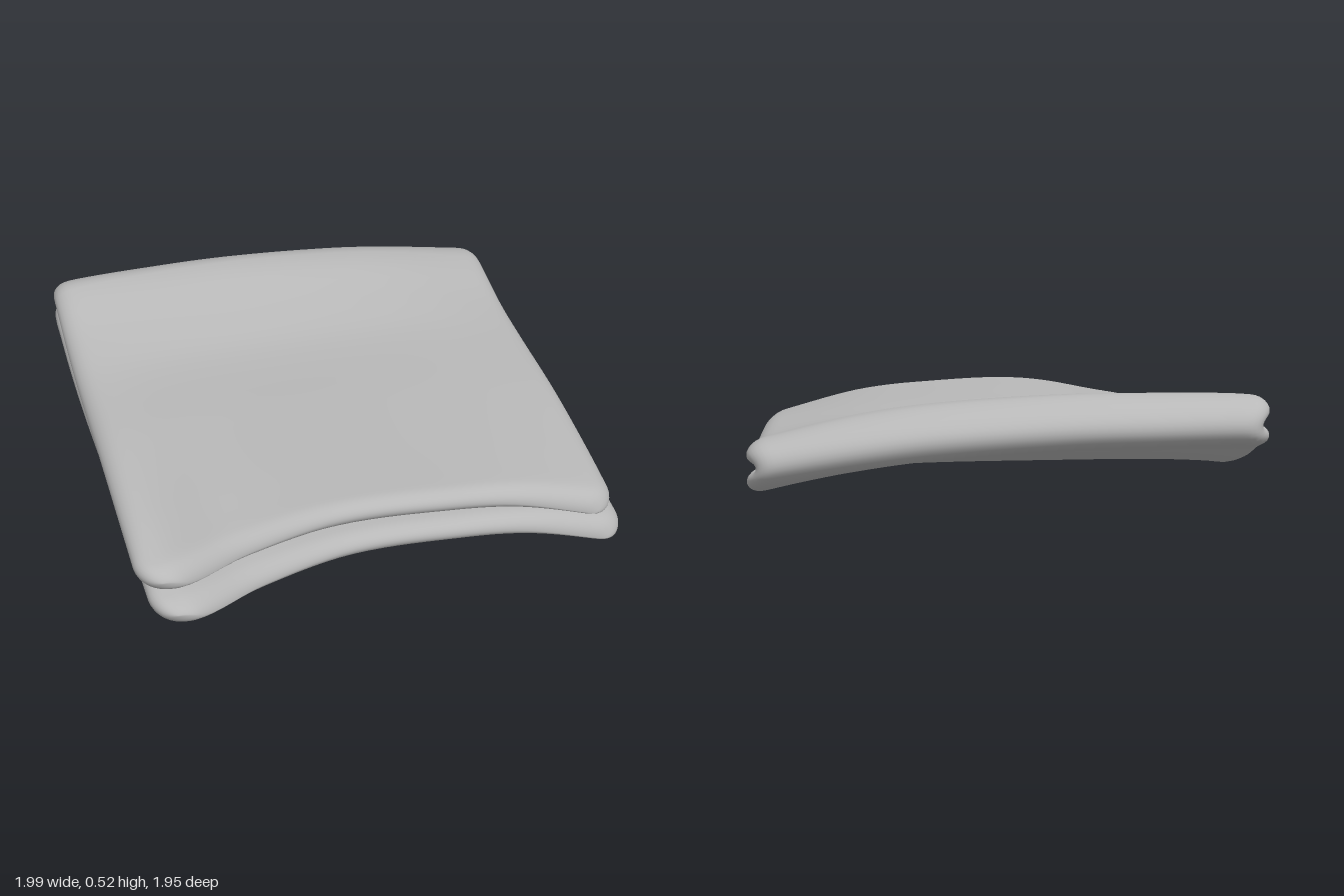
import * as THREE from 'three';

// Height of the gap between the two layers: rows run back to front, columns left to right in x
const KX = [-0.97, -0.85, -0.6, -0.2, 0.3, 0.6, 0.97];
const KZ = [-0.95, -0.75, -0.5, -0.25, 0.2, 0.6, 0.95];
const SAG = [
  [0.40, 0.405, 0.405, 0.40, 0.37, 0.335, 0.28],
  [0.41, 0.42, 0.424, 0.422, 0.39, 0.345, 0.255],
  [0.325, 0.34, 0.35, 0.35, 0.335, 0.305, 0.22],
  [0.27, 0.285, 0.295, 0.295, 0.29, 0.275, 0.212],
  [0.23, 0.25, 0.285, 0.295, 0.288, 0.268, 0.21],
  [0.18, 0.19, 0.26, 0.30, 0.285, 0.258, 0.18],
  [0.135, 0.12, 0.215, 0.30, 0.285, 0.245, 0.135],
];

// Smooth cubic through values at uneven knots
function cubic(knots, vals, x) {
  const n = knots.length;
  x = THREE.MathUtils.clamp(x, knots[0], knots[n - 1]);
  let i = 0;
  while (i < n - 2 && x > knots[i + 1]) i++;
  const slope = (k) => {
    const a = Math.max(k - 1, 0), b = Math.min(k + 1, n - 1);
    return (vals[b] - vals[a]) / (knots[b] - knots[a]);
  };
  const d = knots[i + 1] - knots[i], t = (x - knots[i]) / d, t2 = t * t, t3 = t2 * t;
  return (2 * t3 - 3 * t2 + 1) * vals[i] + (t3 - 2 * t2 + t) * d * slope(i)
    + (3 * t2 - 2 * t3) * vals[i + 1] + (t3 - t2) * d * slope(i + 1);
}
const sag = (x, z) => cubic(KZ, SAG.map((row) => cubic(KX, row, x)), z);

// Quarter-round falloff: 1 inside, 0 at the edge, within the last r
const rounded = (dist, r) => {
  const c = THREE.MathUtils.clamp(1 - dist / r, 0, 1);
  return Math.sqrt(1 - c * c);
};

const HALF = 0.048;   // half thickness of one layer
const OFF = 0.053;    // layer centre above or below the gap
const BEND = 0.13;    // depth of the bend at the back
const EDGE = 0.07;    // rounding of the rims
const LENGTH = 1.75;  // one layer, front rim to bend

// Centre line of the folded sheet: lower layer, bend, upper layer
function foldPath() {
  const path = [], flat = 44, bend = 20;
  const ease = (i) => 1 - Math.cos((i / flat) * Math.PI / 2);   // denser at the front rim
  for (let i = 0; i <= flat; i++) path.push({ f: 1 - ease(i), a: 0 });
  for (let i = 1; i < bend; i++) path.push({ f: 0, a: (i / bend) * Math.PI });
  for (let i = flat; i >= 0; i--) path.push({ f: 1 - ease(i), a: Math.PI });
  return path;
}

// Maps a point of the sheet (station on the path, u across, outward sign) into space
function sheetPoint(p, u, sign) {
  const layer = -Math.cos(p.a);                       // -1 lower, +1 upper
  const front = p.f;
  const lower = (1 - layer) / 2;
  const fromFront = LENGTH * (1 - front);

  // plan outline, with rounded corners
  const left = -1 + front * (0.06 + 0.045 * lower);
  const right = 0.965 - front * 0.012 + front * front * 0.047 * lower;
  const corner = 0.1 * (1 - rounded(fromFront, 0.12)) + 0.04 * Math.sin(p.a) ** 4;
  const x = THREE.MathUtils.lerp(left + corner, right - corner, (u + 1) / 2);

  // front and back rims are slightly skewed
  const skew = (1 - u) / 2;
  const zBack = -0.795 + 0.07 * skew ** 3;
  const zFront = 0.925 + lower * (0.015 + 0.035 * skew);

  // thickness fades to nothing at the rims
  const t = sign * HALF * rounded(1 - Math.abs(u), EDGE) * rounded(fromFront, EDGE);
  const z = THREE.MathUtils.lerp(zBack, zFront, front) - Math.sin(p.a) * (BEND + t);
  const droop = 0.015 * lower * front ** 3;
  return [x, sag(u * 0.97, z) + (OFF + t) * layer - droop, z];
}

function createTowelGeometry() {
  const path = foldPath(), N = 48, ring = 2 * N, pos = [], index = [];
  for (const p of path) {
    for (let i = 0; i < ring; i++) {
      const outer = i < N;
      const k = outer ? i / N : 2 - i / N;
      pos.push(...sheetPoint(p, Math.sin((k * 2 - 1) * Math.PI / 2), outer ? 1 : -1));
    }
  }
  // the first and last rings are pinched flat, so their two halves share vertices
  const last = (path.length - 1) * ring;
  const weld = (v) => {
    const base = v >= last ? last : 0, i = v - base;
    return (v < ring || v >= last) && i > N ? base + ring - i : v;
  };
  for (let j = 0; j < path.length - 1; j++) {
    for (let i = 0; i < ring; i++) {
      const a = j * ring + i, b = j * ring + (i + 1) % ring, c = a + ring, d = b + ring;
      index.push(...[a, c, b, b, c, d].map(weld));
    }
  }
  const geo = new THREE.BufferGeometry();
  geo.setAttribute('position', new THREE.Float32BufferAttribute(pos, 3));
  geo.setIndex(index);
  geo.computeVertexNormals();
  geo.computeBoundingBox();
  geo.translate(0, -geo.boundingBox.min.y, 0);
  return geo;
}

export function createModel() {
  const group = new THREE.Group();
  group.name = 'foldedTowel';
  const greyCloth = new THREE.MeshStandardMaterial({ color: 0xb8b8b8 });
  greyCloth.name = 'grey cloth';
  const cloth = new THREE.Mesh(createTowelGeometry(), greyCloth);
  cloth.name = 'foldedCloth';
  group.add(cloth);
  return group;
}
